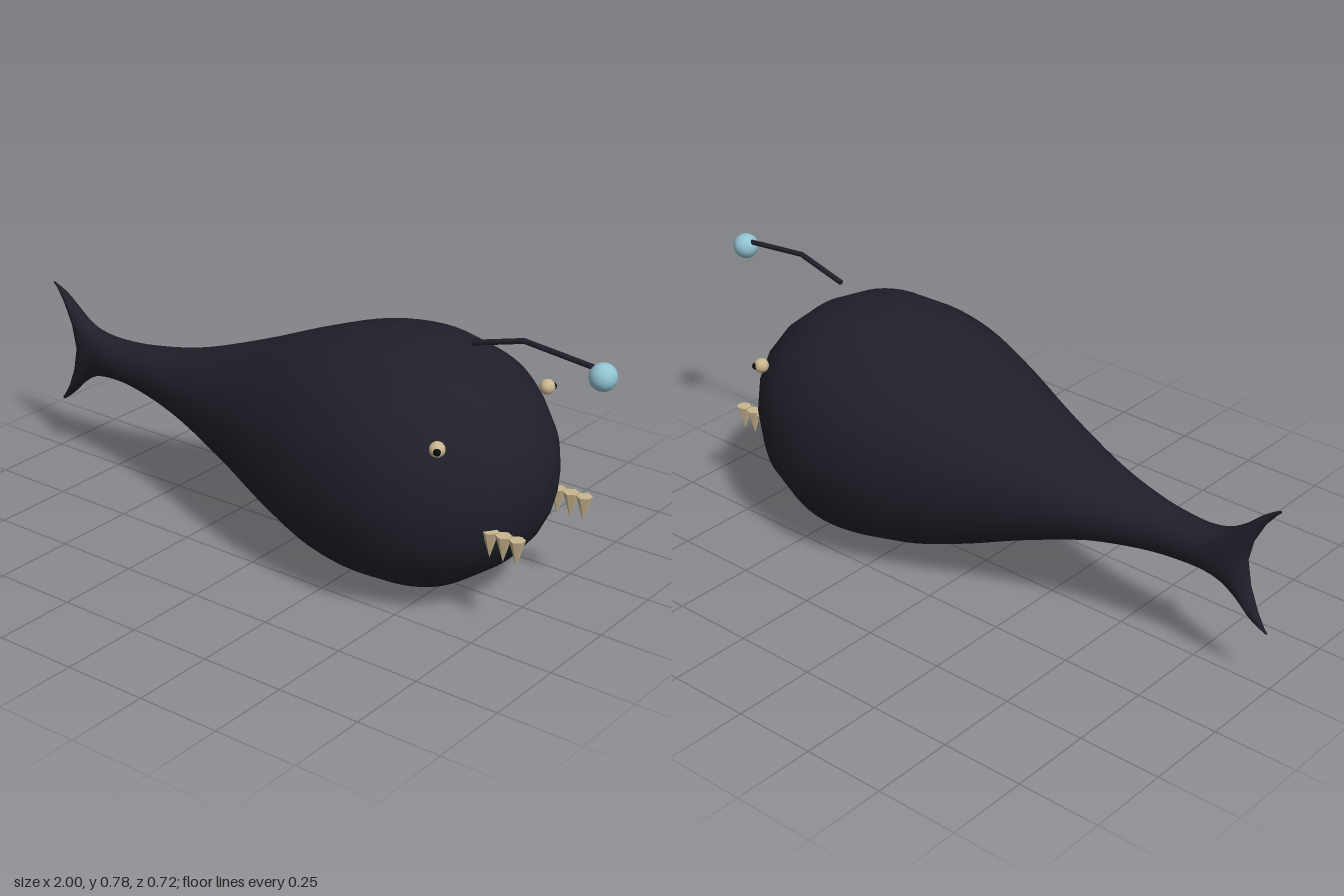
import * as THREE from 'three';

const material = (name, color) => {
  const m = new THREE.MeshStandardMaterial({ color });
  m.name = name;
  return m;
};

// Body and forked tail: rings along x, swept backwards at top and bottom for the tail lobes
function bodyGeometry() {
  const MID = 0.364, SIDES = 16, STEPS = 72;
  // x at the middle, half height, half depth, sweep
  const rows = [
    [-0.905, 0.19, 0, 0.085],
    [-0.895, 0.194, 0.018, 0.087],
    [-0.875, 0.165, 0.032, 0.065],
    [-0.85, 0.115, 0.038, 0.035],
    [-0.81, 0.078, 0.045, 0.012],
    [-0.73, 0.064, 0.058, 0],
    [-0.6, 0.073, 0.076, 0],
    [-0.42, 0.108, 0.125, 0],
    [-0.2, 0.187, 0.2, 0],
    [0, 0.27, 0.278, 0],
    [0.2, 0.338, 0.34, 0],
    [0.39, 0.361, 0.361, 0],
    [0.54, 0.334, 0.334, 0],
    [0.65, 0.272, 0.272, 0],
    [0.73, 0.195, 0.195, 0],
    [0.78, 0.105, 0.105, 0],
    [0.8, 0, 0, 0],
  ];
  const size = new THREE.CatmullRomCurve3(rows.map(r => new THREE.Vector3(r[0], r[1], r[2])), false, 'catmullrom');
  const sweep = new THREE.CatmullRomCurve3(rows.map(r => new THREE.Vector3(r[3], 0, 0)), false, 'catmullrom');
  const positions = [], index = [];
  for (let i = 0; i <= STEPS; i++) {
    const p = size.getPoint(i / STEPS), s = Math.max(0, sweep.getPoint(i / STEPS).x);
    for (let j = 0; j < SIDES; j++) {
      const a = (j / SIDES) * Math.PI * 2, c = Math.cos(a);
      const full = 1 + 0.03 * Math.sin(2 * a) ** 2;
      positions.push(
        p.x - s * Math.abs(c) ** 1.8 * (1 + 0.1 * c),
        MID + Math.max(0, p.y) * c * full,
        Math.max(0, p.z) * Math.sin(a) * full
      );
      if (i < STEPS) {
        const k = i * SIDES + j, n = i * SIDES + (j + 1) % SIDES;
        index.push(k, n, k + SIDES, n, n + SIDES, k + SIDES);
      }
    }
  }
  const g = new THREE.BufferGeometry();
  g.setAttribute('position', new THREE.Float32BufferAttribute(positions, 3));
  g.setIndex(index);
  g.computeVertexNormals();
  return g;
}

export function createModel() {
  const model = new THREE.Group();
  model.name = 'deepSeaFish';
  const skin = material('darkSkin', 0x20202b);
  const ivory = material('ivory', 0xc9b68f);
  const black = material('pupilBlack', 0x0a0a0e);
  const glow = material('lureBlue', 0x92c4d2);

  const add = (name, geometry, mat, x = 0, y = 0, z = 0) => {
    const mesh = new THREE.Mesh(geometry, mat);
    mesh.name = name;
    mesh.position.set(x, y, z);
    model.add(mesh);
    return mesh;
  };

  add('bodyAndTail', bodyGeometry(), skin);

  // Eyes and teeth on both sides
  const eye = new THREE.SphereGeometry(0.022, 16, 12);
  const pupil = new THREE.SphereGeometry(0.011, 12, 8);
  const tooth = new THREE.ConeGeometry(0.023, 0.078, 6).toNonIndexed();
  tooth.computeVertexNormals();
  for (const side of [1, -1]) {
    const label = side > 0 ? 'front' : 'back';
    add(label + 'Eye', eye, ivory, 0.636, 0.541, side * 0.265);
    add(label + 'Pupil', pupil, black, 0.645, 0.541, side * 0.279);
    [0.745, 0.787, 0.829].forEach((x, i) => {
      add(label + 'Tooth' + (i + 1), tooth, ivory, x, 0.262, side * 0.167).rotation.x = Math.PI;
    });
  }

  // Bent lure stalk with a glowing bulb
  const joints = [[0.56, 0.736], [0.72, 0.78], [0.955, 0.757]].map(([x, y]) => new THREE.Vector3(x, y, 0));
  for (let i = 0; i < 2; i++) {
    const dir = joints[i + 1].clone().sub(joints[i]);
    const rod = add('lureStalk' + (i + 1), new THREE.CylinderGeometry(0.008, 0.008, dir.length(), 8), skin);
    rod.position.copy(joints[i]).addScaledVector(dir, 0.5);
    rod.quaternion.setFromUnitVectors(new THREE.Vector3(0, 1, 0), dir.normalize());
  }
  add('lureElbow', new THREE.SphereGeometry(0.008, 8, 6), skin, 0.72, 0.78, 0);
  add('lureBulb', new THREE.SphereGeometry(0.038, 16, 12), glow, 0.96, 0.74, 0);

  return model;
}
